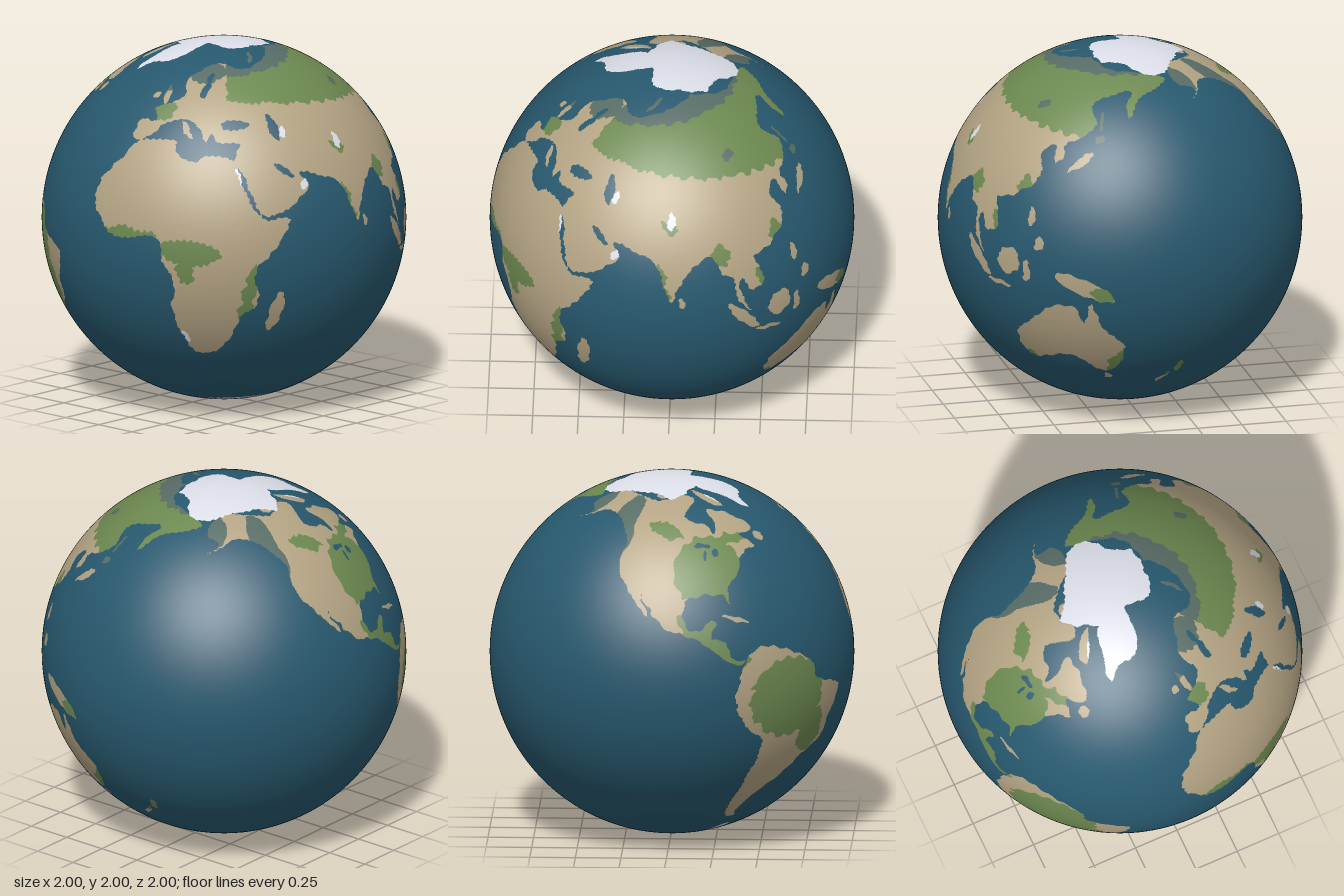
import * as THREE from 'three';

// Coasts run through a few longitude, latitude points; islands, seas and
// biomes are ovals: longitude, latitude, half width, half height, tilt.
const FRONT_LON = 76;

const eurasia = [-9, 43, -9, 37, -5.5, 36, 0, 39.5, 3.5, 43, 12.5, 45, 19.5, 41.5, 22.5, 36.7, 24, 40.5, 27, 37, 35.5, 36.5,
  33, 31, 35.5, 27.5, 43, 13, 52, 15.6, 59.7, 22.5, 56.5, 26, 61.5, 25.2, 72, 21, 77.3, 8, 80.2, 14, 87.5, 21.7, 91.5, 22.5,
  94.3, 16.2, 98.5, 14, 98.5, 8, 103.7, 1.3, 100, 9, 100.7, 13.3, 105, 8.8, 109, 12, 106, 19.5, 113, 22, 121.7, 29, 119.5, 37,
  124.5, 39.8, 126.5, 34.4, 129.3, 36, 128, 40, 134, 43, 140.5, 49, 136, 55, 143, 59.3, 160, 61.5, 156, 57, 156.8, 51,
  163, 58, 179, 62.5, 189, 65.7, 178, 69.3, 140, 72.5, 105, 77, 68, 71, 42, 67, 26, 71, 14, 67.5, 5, 61.5, 8, 55,
  2, 51, -4.5, 48.4, -1.3, 44];
const africa = [-6, 35.5, 10.5, 37, 11, 33.5, 19, 30.5, 22, 32.7, 33, 31.2, 35.5, 24, 38, 18, 43.3, 11.8, 51.2, 11.8, 47, 4, 39.5, -4.5,
  40.6, -15, 35, -20, 32.5, -27, 26, -34, 18.5, -34.3, 12, -17, 13.5, -10, 9, 0, 9, 4, 4.5, 6.2, -7.5, 4.5, -17.3, 14.5, -16.5, 22, -10, 30];
const northAmerica = [-166, 66, -157, 71, -128, 70, -108, 68, -94, 71.5, -82, 69, -94, 60, -82, 55, -80, 51.5, -77, 56, -78, 62,
  -65, 60, -56, 52.5, -66, 50, -61, 45.8, -70, 43.3, -75.5, 36, -81, 31, -80.3, 25.3, -83, 29.5, -97, 28, -97, 20, -93, 18.3,
  -90, 21, -87, 21, -88.5, 16, -83.5, 14.5, -82.5, 9.3, -77.3, 8.5, -81, 7.3, -94, 16, -105, 20, -114, 31.5, -109.8, 23,
  -120.6, 34.5, -124.3, 41, -123.5, 48.5, -134, 58, -146, 60.7, -164, 54.8, -157.5, 58.8, -165, 61.5];
const southAmerica = [-77.5, 8, -72, 12, -62, 10.5, -51, 4.5, -49, -0.5, -35.3, -5.5, -39, -14, -41, -22, -48.6, -27, -57, -35,
  -65, -42, -68, -51, -66, -55, -74, -52, -73.5, -38, -70.3, -18.5, -76.2, -14, -81, -5, -80, 1];
const australia = [113.5, -25, 122, -18, 130.5, -12, 136.5, -12, 140, -17.5, 142.5, -10.8, 146, -19, 153.3, -27, 150, -37.3,
  144, -38.7, 137.5, -33.5, 131, -31.5, 124, -33.5, 115.3, -34.3];
const greenland = [-44, 60, -54, 69, -68, 76, -62, 82, -30, 85, -19, 76, -23, 70, -40, 65];
// Polar sea ice, in x, z from above
const seaIce = [-0.1, 0, -0.1, 0.13, 0.03, 0.17, 0.19, 0.15, 0.22, 0.07, 0.36, -0.05, 0.34, -0.15, 0.08, -0.3, -0.02, -0.36, -0.14, -0.18];

// Madagascar, Indian Ocean and Pacific islands, then Europe and the Americas
const islands = [[46.8, -18.7, 2.2, 7, -15], [80.7, 7.6, 1, 1.8], [140.5, -5.2, 10.5, 2.6, -22], [114, 0.8, 4, 4.5, -35],
  [101, -0.3, 7.8, 1.7, -47], [110, -7.4, 5, 0.8, -6], [120.8, -1.8, 1.3, 3.6], [121.5, 16, 1.2, 3], [125, 8, 1.6, 2.4],
  [137, 35.6, 6, 1.3, 38], [143, 43.5, 2, 1.5], [142.8, 50, 0.8, 4], [176, -38.5, 1.5, 3], [170.5, -44, 1, 3.8, -40],
  [146.7, -42, 1.7, 1.5], [-2, 54, 1.7, 4.4, 20], [-8, 53.3, 2, 1.7], [13.8, 41.3, 1, 4.5, 45], [59, 73.5, 7, 1.3, 28],
  [-71, 68.5, 9.5, 2.6, -30], [-110, 71, 6, 2], [-56, 48.8, 2.6, 1.9], [-79.5, 21.7, 4.8, 0.7, -15]];
const inlandSeas = [[34.5, 43.3, 6.3, 1.8], [50.5, 42, 2, 5, 12], [51.5, 27, 4, 1.3, -35], [19, 57.5, 2, 4.5, -25],
  [20.5, 63, 1.8, 2.6, -30], [-87.5, 47.3, 3.4, 0.9], [-87, 43.6, 0.8, 2], [-82, 44.7, 1.5, 1.4]];

const forests = [[1, 48, 5, 3.5], [74.8, 15, 1, 7, 14], [94.5, 22, 3, 3.8], [117, 25.5, 3, 3], [108, 13, 1.6, 4],
  [77, 32.5, 3.5, 1.6, -35], [18, 1.5, 10, 4], [17, -5, 3, 4], [-3, 6, 10, 2], [37.3, -13, 2, 11, -13], [150.5, -34.5, 3, 6, -25],
  [115.5, -34.3, 2, 1.6], [175, -39, 8, 4], [-86, 38, 15, 13], [-105, 54, 10, 3, -15], [-72, 49.5, 9, 2], [-88, 15, 14, 5, -35],
  [-61, -5, 15, 13], [-49, -18, 6, 8], [147, -7, 4, 3]];
const tundra = [[16, 66, 15, 5.5], [-162, 64, 9, 7], [-130, 60, 8, 10], [-125, 50, 3, 8], [-4, 57.5, 4, 2], [108, 53, 3, 1.8], [143.5, 45, 3, 9]];
const snow = [[77.5, 34.5, 1.5, 2.6], [58, 22.5, 2.4, 1.2, 40], [35.5, 25, 1, 4, 28], [54, 40, 1.2, 1.8], [15.7, -28, 1, 2.5, 20], [-66, 69, 7, 2, -35]];
const antarcticPeninsula = [[-63, -69, 4, 8, -25]];

// Rounded closed coast with an even-odd inside test
function loop(flat) {
  const corners = [];
  for (let i = 0; i < flat.length; i += 2) corners.push(new THREE.Vector3(flat[i], flat[i + 1], 0));
  const pts = new THREE.CatmullRomCurve3(corners, true).getPoints(corners.length * 4);
  const box = new THREE.Box3().setFromPoints(pts);
  return (x, y) => {
    if (x < box.min.x || x > box.max.x || y < box.min.y || y > box.max.y) return false;
    let inside = false;
    for (let i = 1; i < pts.length; i++) {
      const a = pts[i - 1], b = pts[i];
      if ((a.y > y) !== (b.y > y) && x < (b.x - a.x) * (y - a.y) / (b.y - a.y) + a.x) inside = !inside;
    }
    return inside;
  };
}

// True where any of the ovals covers the point
function ovals(list) {
  const turned = list.map(([cx, cy, rx, ry, tilt = 0]) => {
    const angle = THREE.MathUtils.degToRad(tilt);
    return { cx, cy, rx, ry, c: Math.cos(angle), s: Math.sin(angle) };
  });
  return (x, y) => turned.some(({ cx, cy, rx, ry, c, s }) => {
    const u = ((x - cx) * c + (y - cy) * s) / rx, v = ((y - cy) * c - (x - cx) * s) / ry;
    return u * u + v * v < 1;
  });
}

// Returns a rule giving the surface number at a point on the globe
function makeMap() {
  const coasts = [eurasia, africa, northAmerica, southAmerica, australia].map(loop);
  const [isIsland, isSea, isForest, isTundra, isSnow, isPeninsula] = [islands, inlandSeas, forests, tundra, snow, antarcticPeninsula].map(ovals);
  const [isGreenland, isSeaIce] = [greenland, seaIce].map(loop);
  return (p) => {
    const lat = Math.asin(THREE.MathUtils.clamp(p.y / p.length(), -1, 1)) * THREE.MathUtils.RAD2DEG;
    let lon = FRONT_LON + Math.atan2(p.x, p.z) * THREE.MathUtils.RAD2DEG;
    if (lon > 189) lon -= 360;
    // Small waves in space roughen every border
    const wx = Math.sin(p.y * 61 + p.x * 37) + 0.6 * Math.sin(p.y * 143 - p.z * 97);
    const wy = Math.sin(p.x * 59 - p.z * 43) + 0.6 * Math.sin(p.z * 131 + p.x * 109);
    const x = lon + wx * 0.3, y = lat + wy * 0.3;

    const antarcticEdge = -71 + 4 * Math.cos((x - 95) * THREE.MathUtils.DEG2RAD);
    if (y < antarcticEdge || isPeninsula(x, y) || isGreenland(x, y)) return 4;
    if (p.y > 0 && isSeaIce(p.x + wx * 0.006, p.z + wy * 0.006)) return 4;
    if (isSea(x, y) || !(isIsland(x, y) || coasts.some((inside) => inside(x, y)))) return 0;
    if (isSnow(x, y)) return 4;

    const bx = lon + wx * 0.6, by = lat + wy * 0.6;
    if (isTundra(bx, by)) return 3;
    // Northern forest belt, with tundra on its Arctic side
    if (bx > 31) {
      const east = bx - 30;
      if (by > Math.min(63 + east * 0.08, 69.5)) return 3;
      if (by > 53 - east * 0.09) return 2;
    }
    return isForest(bx, by) ? 2 : 1;
  };
}

export function createModel() {
  const kind = makeMap();
  const surfaces = [['ocean', 0x27586e], ['dryLand', 0xb3a383], ['forest', 0x6c8850], ['tundra', 0x586c66], ['ice', 0xdcdfe8]]
    .map(([name, color]) => ({ name, color, points: [] }));

  // Faces that straddle a border are split in four, twice over
  function addFace(a, b, c, depth) {
    const middle = kind(new THREE.Vector3().add(a).add(b).add(c).divideScalar(3));
    if (depth === 0 || [a, b, c].every((p) => kind(p) === middle)) {
      for (const p of [a, b, c]) surfaces[middle].points.push(p.x, p.y, p.z);
      return;
    }
    const [ab, bc, ca] = [[a, b], [b, c], [c, a]].map(([p, q]) => p.clone().add(q).multiplyScalar(0.5));
    for (const face of [[a, ab, ca], [ab, b, bc], [ca, bc, c], [ab, bc, ca]]) addFace(...face, depth - 1);
  }
  const base = new THREE.IcosahedronGeometry(1, 49).attributes.position;
  const corner = (i) => new THREE.Vector3().fromBufferAttribute(base, i);
  for (let i = 0; i < base.count; i += 3) addFace(corner(i), corner(i + 1), corner(i + 2), 2);

  // One smooth mesh for each surface
  const globe = new THREE.Group();
  globe.name = 'globe';
  for (const { name, color, points } of surfaces) {
    const geometry = new THREE.BufferGeometry();
    geometry.setAttribute('position', new THREE.Float32BufferAttribute(points, 3));
    geometry.setAttribute('normal', new THREE.Float32BufferAttribute(points, 3));
    geometry.normalizeNormals();
    const material = new THREE.MeshStandardMaterial({ color });
    material.name = name;
    const mesh = new THREE.Mesh(geometry, material);
    mesh.name = name;
    mesh.position.y = 1;
    globe.add(mesh);
  }
  return globe;
}
